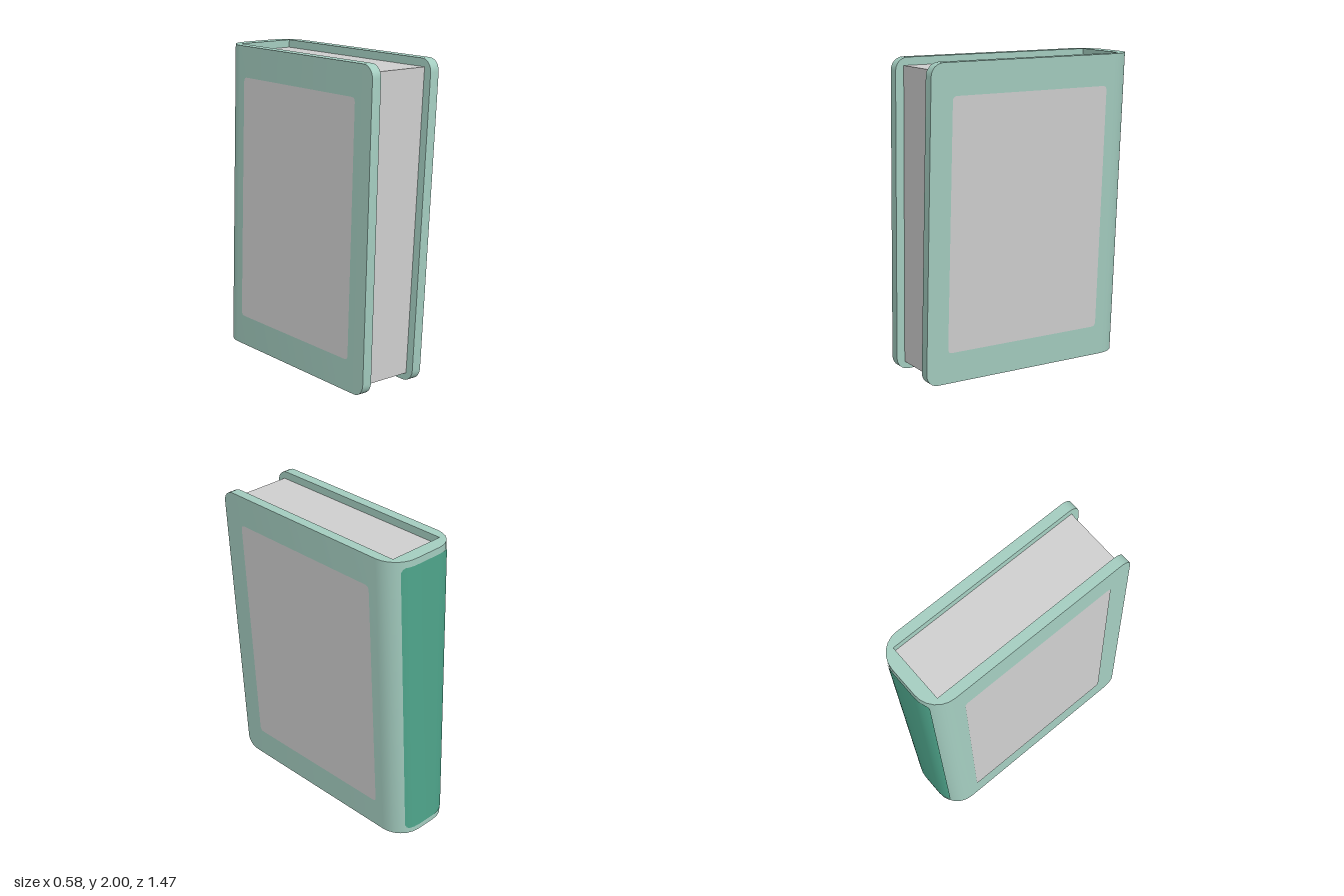
import * as THREE from 'three';
import { toCreasedNormals } from 'three/addons/utils/BufferGeometryUtils.js';

const HEIGHT = 2, FRONT = 0.735, BACK = -0.735;
const THICK = 0.065, SPINE_INNER = -0.65;
const SPINE_R = 0.16, CORNER_R = 0.08;

const coverMat = new THREE.MeshStandardMaterial({ name: 'pale green cover', color: 0xa4cdc0 });
const greyMat = new THREE.MeshStandardMaterial({ name: 'light grey', color: 0xcfcfcf });
const greenMat = new THREE.MeshStandardMaterial({ name: 'deep green', color: 0x4fa68c });

// The book leans and widens slightly upwards: x of a point d inside one side
function leanX(side, d, y) {
  const t = y / HEIGHT;
  return side < 0 ? -0.29 + 0.06 * t + d : 0.175 + 0.115 * t - d;
}

function geometryFromQuads(quads) {
  const pos = [];
  for (const [a, b, c, d] of quads) for (const p of [a, b, c, a, c, d]) pos.push(...p);
  const g = new THREE.BufferGeometry();
  g.setAttribute('position', new THREE.Float32BufferAttribute(pos, 3));
  return toCreasedNormals(g, 0.7);
}

// Both covers and the spine as one strip, swept round the back
function coverGeometry() {
  const half = [];
  for (let i = 6; i >= 0; i--) {            // rounded front corners
    const a = (i / 6) * Math.PI / 2;
    const z = FRONT - CORNER_R + CORNER_R * Math.sin(a);
    half.push({ d: 0, z, innerZ: z, inset: CORNER_R * (1 - Math.cos(a)) });
  }
  for (let i = 0; i <= 6; i++) {            // rounded spine edge
    const a = (i / 6) * Math.PI / 2;
    const z = BACK + SPINE_R * (1 - Math.sin(a));
    half.push({ d: SPINE_R * (1 - Math.cos(a)), z, innerZ: i ? SPINE_INNER : z, inset: 0 });
  }
  const ring = [
    ...half.map(p => ({ ...p, side: -1 })),
    ...half.slice().reverse().map(p => ({ ...p, side: 1 })),
  ].map(p => {
    const lo = p.inset, hi = HEIGHT - p.inset;
    const outer = y => [leanX(p.side, p.d, y), y, p.z];
    const inner = y => [leanX(p.side, THICK, y), y, p.innerZ];
    return { ob: outer(lo), ot: outer(hi), ib: inner(lo), it: inner(hi) };
  });

  const quads = [];
  for (let i = 0; i < ring.length - 1; i++) {
    const p = ring[i], q = ring[i + 1];
    quads.push([p.ob, p.ot, q.ot, q.ob]);   // outside
    quads.push([p.ib, q.ib, q.it, p.it]);   // inside
    quads.push([p.ot, p.it, q.it, q.ot]);   // top rim
    quads.push([p.ob, q.ob, q.ib, p.ib]);   // bottom rim
  }
  const s = ring[0], e = ring[ring.length - 1];
  quads.push([s.ob, s.ib, s.it, s.ot], [e.ib, e.ob, e.ot, e.it]);
  return geometryFromQuads(quads);
}

// Page block, a box sheared to the lean
function pagesGeometry() {
  const g = new THREE.BoxGeometry(2, 1.9, 1.33);
  g.translate(0, 1, 0.015);
  const p = g.attributes.position;
  for (let i = 0; i < p.count; i++) p.setX(i, leanX(p.getX(i), THICK - 0.002, p.getY(i)));
  g.computeVertexNormals();
  return g;
}

// Rounded rectangle lying on the outside of one cover
function panelGeometry(side) {
  const z0 = -0.52, z1 = 0.59, y0 = 0.2, y1 = 1.8, r = 0.03;
  const [a0, a1] = side > 0 ? [-z1, -z0] : [z0, z1];
  const s = new THREE.Shape();
  s.moveTo(a0 + r, y0);
  s.lineTo(a1 - r, y0).quadraticCurveTo(a1, y0, a1, y0 + r);
  s.lineTo(a1, y1 - r).quadraticCurveTo(a1, y1, a1 - r, y1);
  s.lineTo(a0 + r, y1).quadraticCurveTo(a0, y1, a0, y1 - r);
  s.lineTo(a0, y0 + r).quadraticCurveTo(a0, y0, a0 + r, y0);
  const g = new THREE.ShapeGeometry(s, 5);
  const p = g.attributes.position;
  for (let i = 0; i < p.count; i++) {
    const a = p.getX(i), y = p.getY(i);
    p.setXYZ(i, leanX(side, -0.004, y), y, side > 0 ? -a : a);
  }
  g.computeVertexNormals();
  return g;
}

// Green strip wrapped round the spine, with softened corners
function spinePanelGeometry() {
  const lift = 0.004;
  const half = [[55, 0.03], [59, 0.01], [65, 0], [77, 0], [90, 0]];
  const columns = [
    ...half.map(([deg, inset]) => [-1, deg, inset]),
    ...half.slice().reverse().map(([deg, inset]) => [1, deg, inset]),
  ].map(([side, deg, inset]) => {
    const a = THREE.MathUtils.degToRad(deg), r = SPINE_R + lift;
    const at = y => [leanX(side, SPINE_R - r * Math.cos(a), y), y, BACK + SPINE_R - r * Math.sin(a)];
    return { b: at(0.04 + inset), t: at(1.96 - inset) };
  });
  const quads = [];
  for (let i = 0; i < columns.length - 1; i++) {
    const p = columns[i], q = columns[i + 1];
    quads.push([p.b, p.t, q.t, q.b]);
  }
  return geometryFromQuads(quads);
}

export function createModel() {
  const book = new THREE.Group();
  book.name = 'book';
  const add = (name, geometry, material) => {
    const mesh = new THREE.Mesh(geometry, material);
    mesh.name = name;
    book.add(mesh);
  };
  add('cover', coverGeometry(), coverMat);
  add('pages', pagesGeometry(), greyMat);
  add('leftCoverPanel', panelGeometry(1), greyMat);
  add('rightCoverPanel', panelGeometry(-1), greyMat);
  add('spinePanel', spinePanelGeometry(), greenMat);
  return book;
}
